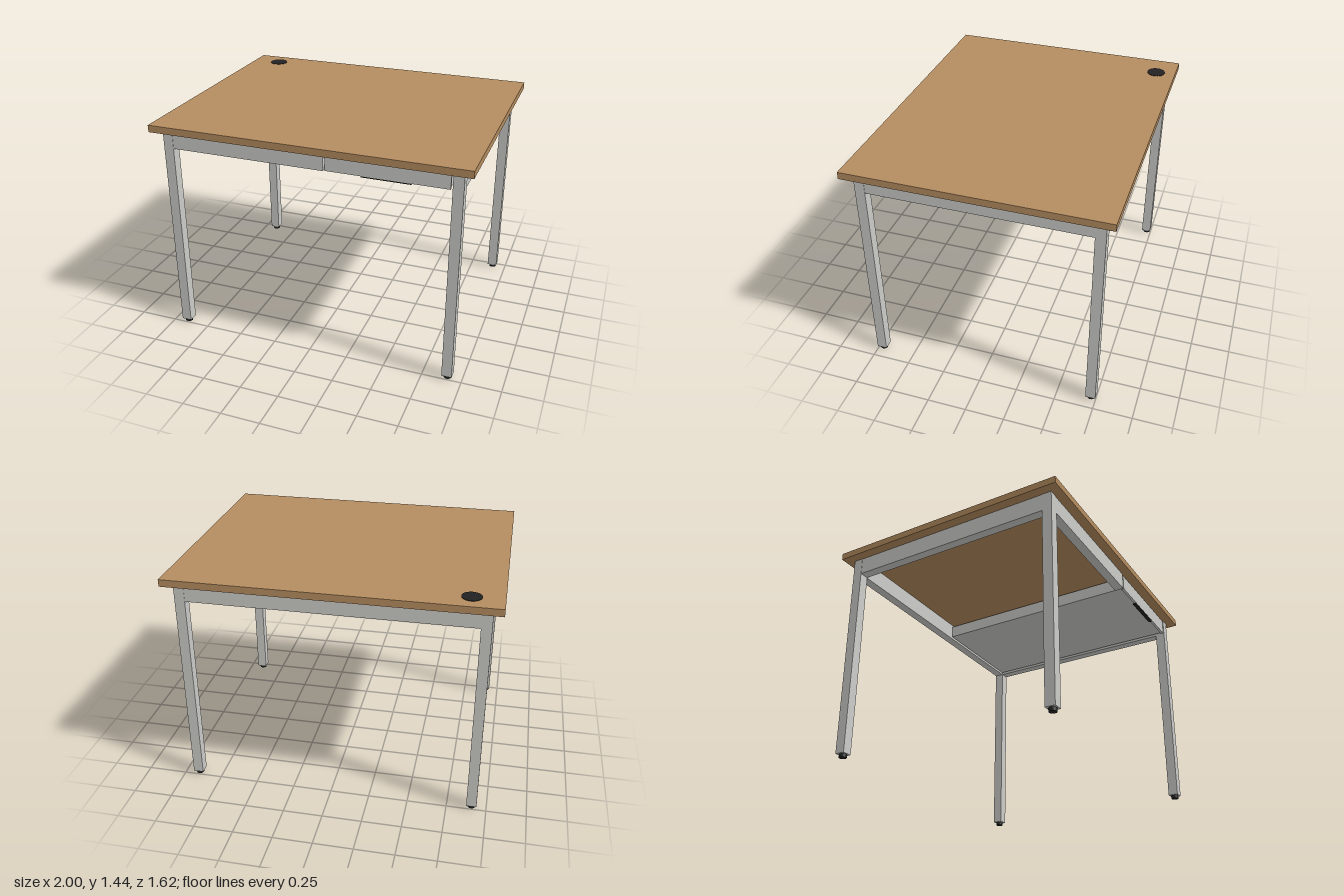
import * as THREE from 'three';

export function createModel() {
  const group = new THREE.Group();
  const mat = (name, color) => {
    const m = new THREE.MeshStandardMaterial({ color });
    m.name = name;
    return m;
  };
  const wood = mat('wood', 0xb48c5f);
  const metal = mat('light grey metal', 0xcbcbc8);
  const black = mat('black plastic', 0x222222);

  const add = (name, geometry, material, x, y, z) => {
    const mesh = new THREE.Mesh(geometry, material);
    mesh.name = name;
    mesh.position.set(x, y, z);
    group.add(mesh);
    return mesh;
  };
  // Box given by its minimum and maximum on each axis
  const box = (name, material, [x0, x1], [y0, y1], [z0, z1]) =>
    add(name, new THREE.BoxGeometry(x1 - x0, y1 - y0, z1 - z0), material,
      (x0 + x1) / 2, (y0 + y1) / 2, (z0 + z1) / 2);

  // Table top and cable grommet
  box('tableTop', wood, [-1, 1], [1.395, 1.44], [-0.81, 0.81]);
  add('cableGrommet', new THREE.CylinderGeometry(0.06, 0.06, 0.004, 40), black, -0.81, 1.441, -0.68);

  // Square legs with round levelling feet
  const legX = 0.907, legZ = 0.718, legW = 0.064;
  for (const sx of [-1, 1]) {
    for (const sz of [-1, 1]) {
      add('leg', new THREE.BoxGeometry(legW, 1.373, legW), metal, sx * legX, 0.7085, sz * legZ);
      add('foot', new THREE.CylinderGeometry(0.024, 0.024, 0.024, 24), black, sx * legX, 0.012, sz * legZ);
    }
  }

  // Rails under the top
  const railY = [1.28, 1.395];
  const inX = 0.875, inZ = 0.686;
  box('backRail', metal, [-inX, inX], railY, [-0.748, -0.688]);
  box('frontRail', metal, [-inX, 0.11], railY, [0.688, 0.748]);
  for (const s of [-1, 1]) {
    add('sideRail', new THREE.BoxGeometry(0.06, 0.115, inZ * 2), metal, s * legX, 1.3375, 0);
  }

  // Drawer: bottom, sides and back, with a front set flush between the rail and leg
  box('drawerBottom', metal, [0.122, 0.862], [1.29, 1.3], [-0.68, 0.73]);
  for (const x of [0.122, 0.852]) {
    box('drawerSide', metal, [x, x + 0.01], [1.3, 1.375], [-0.68, 0.73]);
  }
  box('drawerBack', metal, [0.132, 0.852], [1.3, 1.375], [-0.68, -0.67]);
  box('drawerFront', metal, [0.12, 0.864], [1.283, 1.388], [0.73, 0.748]);

  // Finger pull under the drawer front
  box('drawerPull', black, [0.34, 0.64], [1.276, 1.284], [0.722, 0.747]);

  return group;
}
